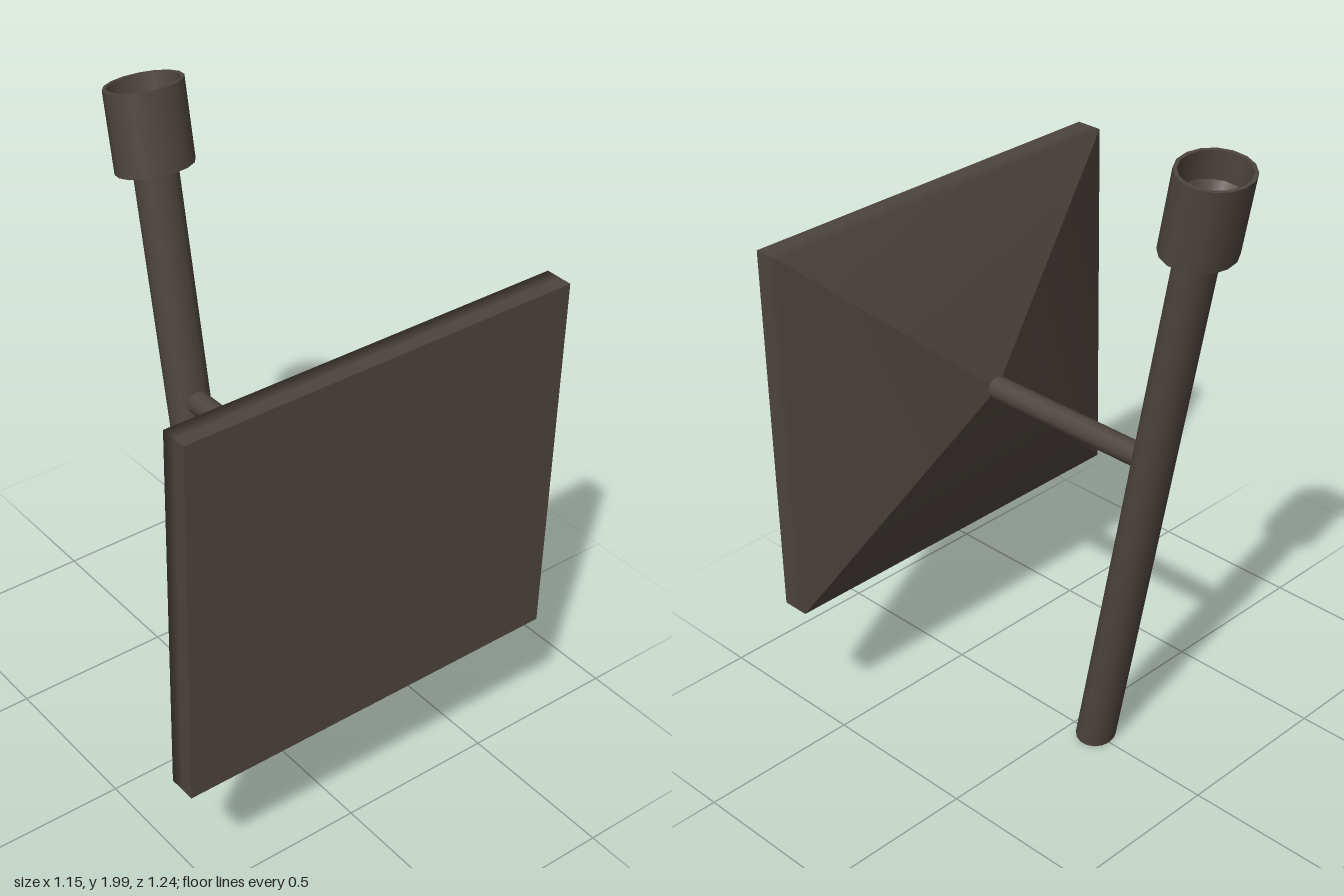
import * as THREE from 'three';
import { mergeGeometries } from 'three/addons/utils/BufferGeometryUtils.js';

const darkMetal = new THREE.MeshStandardMaterial({ color: 0x4d443e });

function part(name, geometry) {
  const mesh = new THREE.Mesh(geometry, darkMetal);
  mesh.name = name;
  return mesh;
}

// Turned profile whose corners stay sharp: one lathe band per segment
function turned(profile, sides) {
  const bands = [];
  for (let i = 0; i + 1 < profile.length; i++) {
    const ends = [profile[i], profile[i + 1]].map(([r, y]) => new THREE.Vector2(r, y));
    bands.push(new THREE.LatheGeometry(ends, sides));
  }
  return mergeGeometries(bands);
}

// Sloped back and thin rim, smooth along each side and sharp between sides
function panelBack(apexX, rimX, frontX, y, halfHeight, halfWidth) {
  const corners = [[1, 1], [1, -1], [-1, -1], [-1, 1]];
  const sides = corners.map((a, k) => {
    const b = corners[(k + 1) % 4];
    const at = (x, c) => [x, y + c[0] * halfHeight, c[1] * halfWidth];
    const midX = rimX + (frontX - rimX) * 0.55;
    const points = [apexX, y, 0,
      ...at(rimX, a), ...at(rimX, b),
      ...at(midX, a), ...at(midX, b),
      ...at(frontX, a), ...at(frontX, b)];
    const geometry = new THREE.BufferGeometry();
    geometry.setAttribute('position', new THREE.Float32BufferAttribute(points, 3));
    geometry.setIndex([0, 1, 2, 1, 3, 2, 2, 3, 4, 3, 5, 4, 4, 5, 6]);
    geometry.computeVertexNormals();
    return geometry;
  });
  return mergeGeometries(sides);
}

export function createModel() {
  const model = new THREE.Group();
  model.name = 'panelOnLeaningTube';

  // Leaning tube, slightly oval, with a hollow collar at its top
  const tube = new THREE.Group();
  tube.name = 'leaningTube';
  tube.position.set(-0.09, 0.018, 0);
  tube.rotation.z = 0.197;
  tube.scale.z = 1.21;
  tube.add(part('shaft', turned([[0, 0], [0.056, 0], [0.056, 1.78]], 16)));
  tube.add(part('collar', turned([
    [0.05, 1.763], [0.099, 1.763], [0.099, 2.003], [0.089, 2.003],
    [0.086, 1.92], [0.066, 1.88], [0.064, 1.84], [0, 1.84],
  ], 16)));
  model.add(tube);

  // Horizontal arm from the tube to the panel
  const arm = part('arm', new THREE.CylinderGeometry(0.036, 0.036, 0.565, 12));
  arm.rotation.z = Math.PI / 2;
  arm.position.set(0.028, 1.063, 0);
  model.add(arm);

  // Panel with a pyramid-shaped back
  model.add(part('panelBack', panelBack(0.31, 0.49, 0.575, 1.06, 0.57, 0.622)));
  const face = part('panelFace', new THREE.PlaneGeometry(1.244, 1.14));
  face.rotation.y = Math.PI / 2;
  face.position.set(0.575, 1.06, 0);
  model.add(face);

  return model;
}
